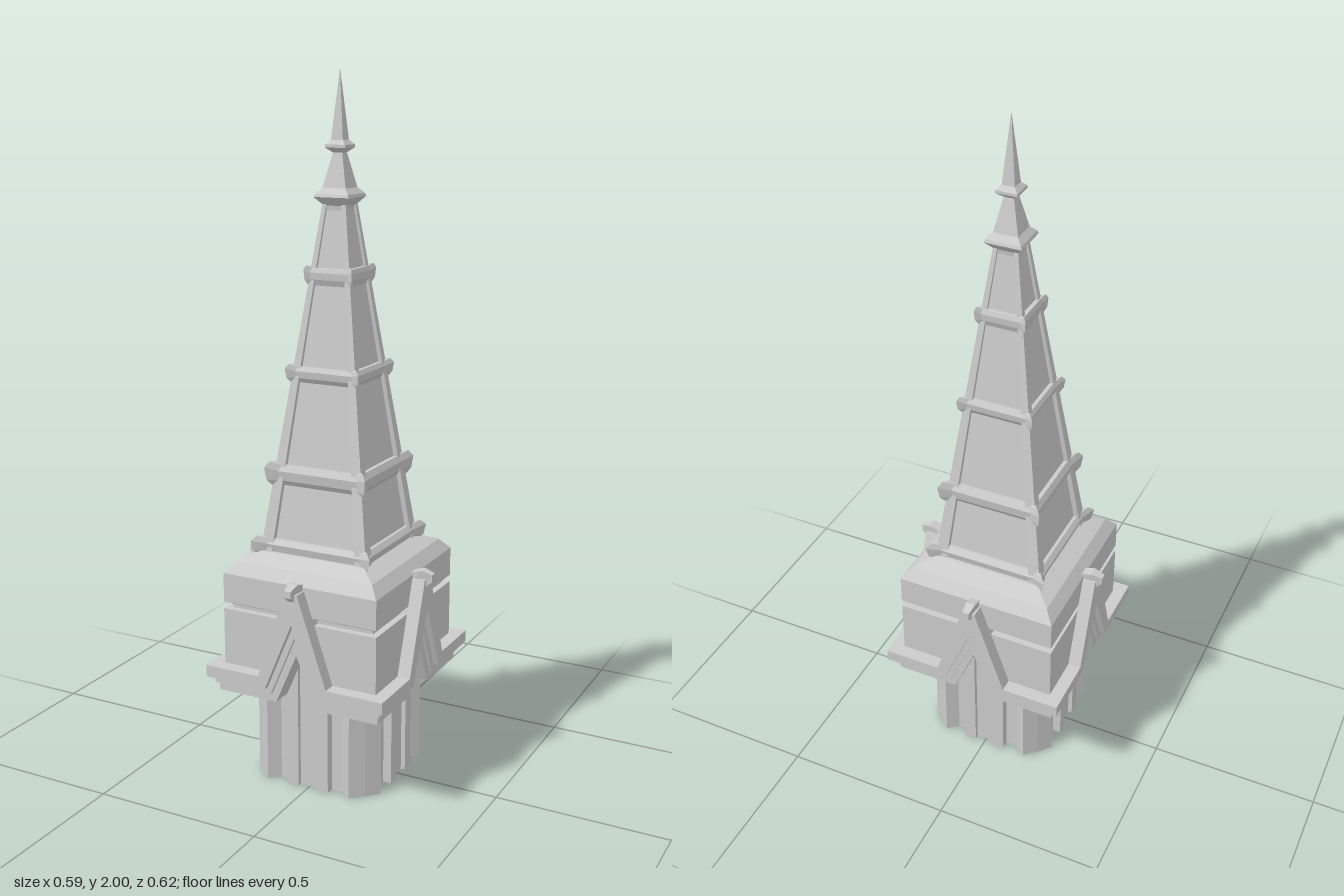
import * as THREE from 'three';

const material = new THREE.MeshStandardMaterial({ color: 0xcccccc, flatShading: true });

function mesh(name, geometry) {
  const m = new THREE.Mesh(geometry, material);
  m.name = name;
  return m;
}

// Repeats a quarter outline four times around the y axis
function fourfold(quarter) {
  const out = [];
  for (let k = 0; k < 4; k++) {
    for (const [x, y, lift = 0] of quarter) {
      let p = [x, y];
      for (let i = 0; i < k; i++) p = [-p[1], p[0]];
      out.push([p[0], p[1], lift]);
    }
  }
  return out;
}

// Joins stacked outlines [height, outline] into a closed faceted solid
function loft(sections) {
  const pos = [];
  const rings = sections.map(([h, plan]) => plan.map(([x, y, lift]) => [x, h + lift, -y]));
  const n = rings[0].length;
  const tri = (a, b, c) => pos.push(...a, ...b, ...c);
  for (let s = 0; s < rings.length - 1; s++) {
    const lo = rings[s], hi = rings[s + 1];
    for (let i = 0; i < n; i++) {
      const j = (i + 1) % n;
      tri(lo[i], lo[j], hi[j]);
      tri(lo[i], hi[j], hi[i]);
    }
  }
  const first = rings[0], last = rings[rings.length - 1];
  for (let i = 0; i < n; i++) {
    const j = (i + 1) % n;
    tri([0, sections[0][0], 0], first[j], first[i]);
    tri([0, sections[sections.length - 1][0], 0], last[i], last[j]);
  }
  const g = new THREE.BufferGeometry();
  g.setAttribute('position', new THREE.Float32BufferAttribute(pos, 3));
  g.computeVertexNormals();
  return g;
}

const square = (r) => fourfold([[r, r]]);
const squareStack = (profile) => loft(profile.map(([y, r]) => [y, square(r)]));

// Square with raised corner ribs and sunken panels
const ribbed = (r, w, d) =>
  fourfold([[r - d, w - r], [r - d, r - w], [r, r - w], [r, r], [r - w, r]]);

// Square with pointed, slightly lifted corners
const eared = (r, lift) => {
  const m = r * 0.89, e = r * 0.22;
  return fourfold([[m, e - r], [m, r - e], [r, r, lift]]);
};

// Strip between two gable lines (half lines from corner to peak), mitred at the corners
function gableStrip(lower, upper, d0, d1) {
  const mirror = (line) => [
    ...line.map(([x, y]) => [-x, y]),
    ...line.filter(([x]) => x > 0).reverse(),
  ];
  const pts = [...mirror(lower), ...mirror(upper).reverse()];
  const shape = new THREE.Shape(pts.map(([x, y]) => new THREE.Vector2(x, y)));
  const g = new THREE.ExtrudeGeometry(shape, { depth: d1 - d0, bevelEnabled: false });
  g.translate(0, 0, d0);
  const p = g.attributes.position;
  for (let i = 0; i < p.count; i++) {
    if (Math.abs(p.getX(i)) > 0.5) p.setX(i, Math.sign(p.getX(i)) * p.getZ(i));
  }
  g.computeVertexNormals();
  return g;
}

// Small hooked block on a gable peak
function finialGeometry() {
  const side = [[0.22, 0.57], [0.28, 0.57], [0.29, 0.6], [0.308, 0.615],
    [0.308, 0.635], [0.275, 0.645], [0.22, 0.63]];
  const shape = new THREE.Shape(side.map(([d, y]) => new THREE.Vector2(d, y)));
  const g = new THREE.ExtrudeGeometry(shape, { depth: 0.03, bevelEnabled: false });
  g.translate(0, 0, -0.015);
  g.rotateY(-Math.PI / 2);
  const p = g.attributes.position;
  for (let i = 0; i < p.count; i++) {
    if (p.getZ(i) > 0.285) p.setX(i, p.getX(i) * 0.7);
  }
  g.computeVertexNormals();
  return g;
}

export function createModel() {
  const model = new THREE.Group();
  model.name = 'spire';

  // Fluted shaft
  const shaftPlan = fourfold([
    [0.175, -0.1], [0.175, -0.065], [0.2, -0.065], [0.2, -0.03], [0.187, -0.03],
    [0.187, 0.03], [0.2, 0.03], [0.2, 0.065], [0.175, 0.065], [0.175, 0.1],
    [0.2, 0.132], [0.168, 0.168], [0.132, 0.2],
  ]);
  model.add(mesh('shaft', loft([[0, shaftPlan], [0.5, shaftPlan]])));

  // Gabled block, slightly narrower in x than in z
  const block = new THREE.Group();
  block.name = 'gabledBlock';
  block.scale.x = 0.957;
  model.add(block);

  const W = 1; // replaced by the mitre
  const lines = [
    [[W, 0.28], [0.068, 0.28], [0, 0.43]],
    [[W, 0.305], [0.08, 0.305], [0, 0.485]],
    [[W, 0.325], [0.09, 0.325], [0, 0.53]],
    [[W, 0.36], [0.112, 0.36], [0.02, 0.62], [0, 0.62]],
  ];
  const wallTop = [[W, 0.525], [0, 0.525]];
  const parts = [
    ['wall', gableStrip(lines[0], wallTop, 0.17, 0.25)],
    ['lowerMoulding', gableStrip(lines[0], lines[1], 0.18, 0.262)],
    ['middleMoulding', gableStrip(lines[1], lines[2], 0.18, 0.272)],
    ['upperMoulding', gableStrip(lines[2], lines[3], 0.18, 0.29)],
    ['gableFinial', finialGeometry()],
  ];
  for (let k = 0; k < 4; k++) {
    const face = new THREE.Group();
    face.name = 'gableFace' + (k + 1);
    face.rotation.y = (k * Math.PI) / 2;
    for (const [name, geometry] of parts) face.add(mesh(name, geometry));
    block.add(face);
  }

  // Groove and bevelled cap
  block.add(mesh('blockCap', squareStack([
    [0.5, 0.23], [0.535, 0.23], [0.545, 0.25], [0.63, 0.25], [0.662, 0.222], [0.685, 0.17],
  ])));

  // Tapering spire with sunken panels
  model.add(mesh('panelledSpire', loft([
    [0.67, ribbed(0.168, 0.036, 0.016)],
    [1.2, ribbed(0.096, 0.022, 0.012)],
    [1.66, ribbed(0.034, 0.012, 0.007)],
  ])));

  // Bands dividing the panels
  const bands = [[0.665, 0.72, 0.187], [0.865, 0.932, 0.157], [1.16, 1.208, 0.113], [1.43, 1.478, 0.074]];
  for (const [y0, y1, r] of bands) {
    const h = y1 - y0, lift = h * 0.15;
    model.add(mesh('spireBand', loft([
      [y0, eared(r * 0.86, 0)],
      [y0 + h * 0.35, eared(r * 0.97, 0)],
      [y0 + h * 0.75, eared(r, lift)],
      [y1, eared(r * 0.93, lift)],
    ])));
  }

  // Collars and needle
  model.add(mesh('needle', squareStack([
    [1.63, 0.03], [1.645, 0.032], [1.668, 0.053], [1.676, 0.05], [1.692, 0.035],
    [1.785, 0.014], [1.798, 0.03], [1.806, 0.03], [1.818, 0.018], [2, 0.0005],
  ])));

  return model;
}
